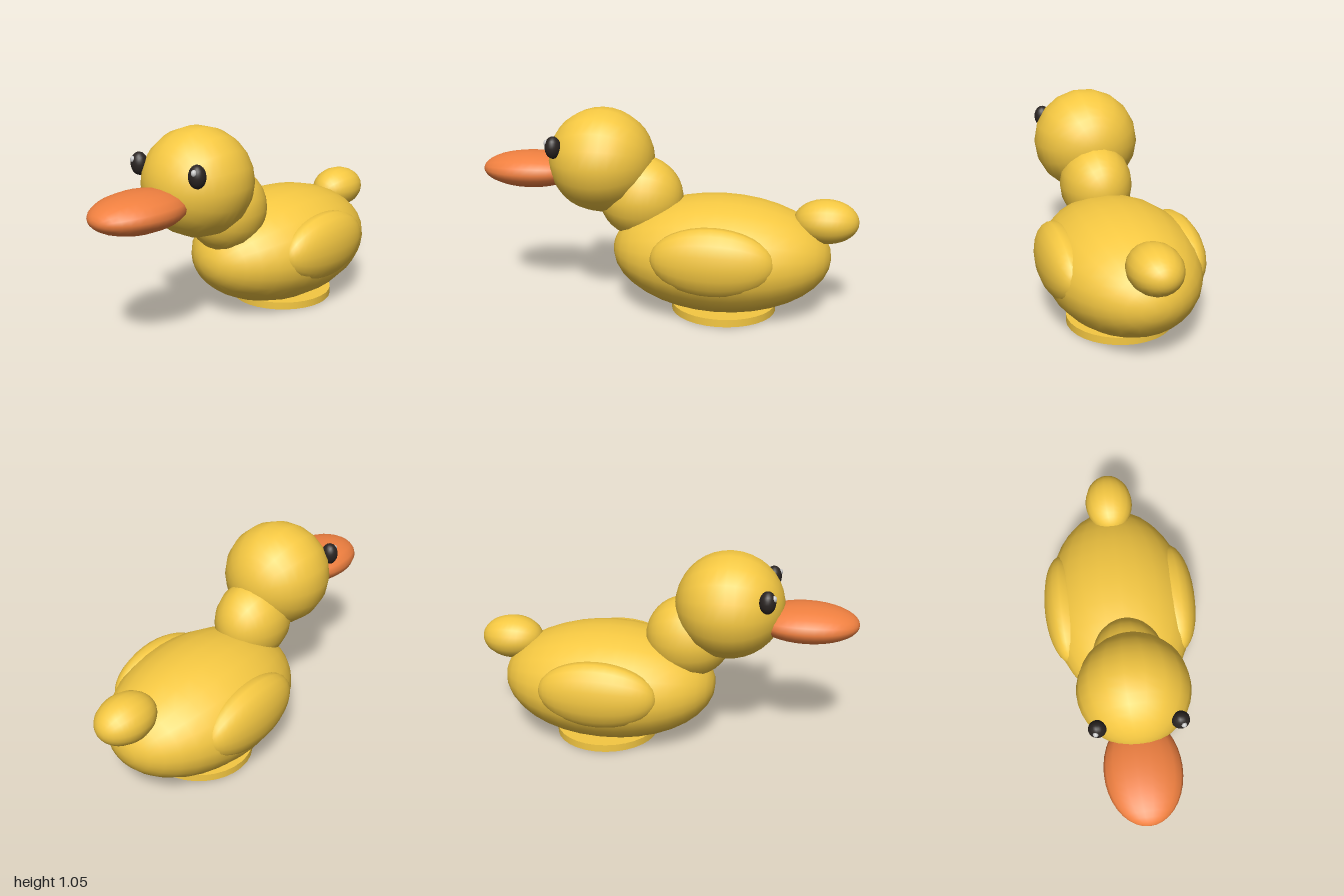
import * as THREE from 'three';

const material = (color) => new THREE.MeshStandardMaterial({ color });

export function createModel() {
  const duck = new THREE.Group();
  duck.name = 'toyDuck';

  const yellow = material(0xf5c842);
  const orange = material(0xf08040);
  const black = material(0x2a2422);
  const grey = material(0xcccccc);

  // Ellipsoid with its poles along z
  function ellipsoid(name, mat, radii, position, around = 18, along = 18) {
    const geometry = new THREE.SphereGeometry(1, around, along);
    geometry.rotateX(Math.PI / 2);
    geometry.scale(...radii);
    const mesh = new THREE.Mesh(geometry, mat);
    mesh.name = name;
    mesh.position.set(...position);
    duck.add(mesh);
    return mesh;
  }

  // Body, neck, head and tail
  ellipsoid('body', yellow, [0.395, 0.305, 0.575], [0, 0.312, -0.295], 24, 18);
  ellipsoid('neck', yellow, [0.192, 0.22, 0.225], [0, 0.59, 0.135]);
  ellipsoid('head', yellow, [0.282, 0.277, 0.28], [0, 0.78, 0.345]);
  ellipsoid('tail', yellow, [0.13, 0.115, 0.165], [0, 0.51, -0.835]);

  // Beak
  ellipsoid('beak', orange, [0.19, 0.095, 0.265], [0, 0.715, 0.735]);

  // Mirrored wings, eyes and eye highlights
  for (const [side, s] of [['left', 1], ['right', -1]]) {
    ellipsoid(side + 'Wing', yellow, [0.115, 0.18, 0.312], [s * 0.305, 0.352, -0.29]);
    ellipsoid(side + 'Eye', black, [0.044, 0.058, 0.041], [s * 0.197, 0.876, 0.548]);
    ellipsoid(side + 'EyeHighlight', grey, [0.014, 0.017, 0.014], [s * 0.207, 0.9, 0.579], 12, 8);
  }

  // Flat round stand
  const base = new THREE.Mesh(new THREE.CylinderGeometry(0.277, 0.277, 0.04, 32), yellow);
  base.name = 'base';
  base.position.set(0, 0.02, -0.315);
  duck.add(base);

  return duck;
}
